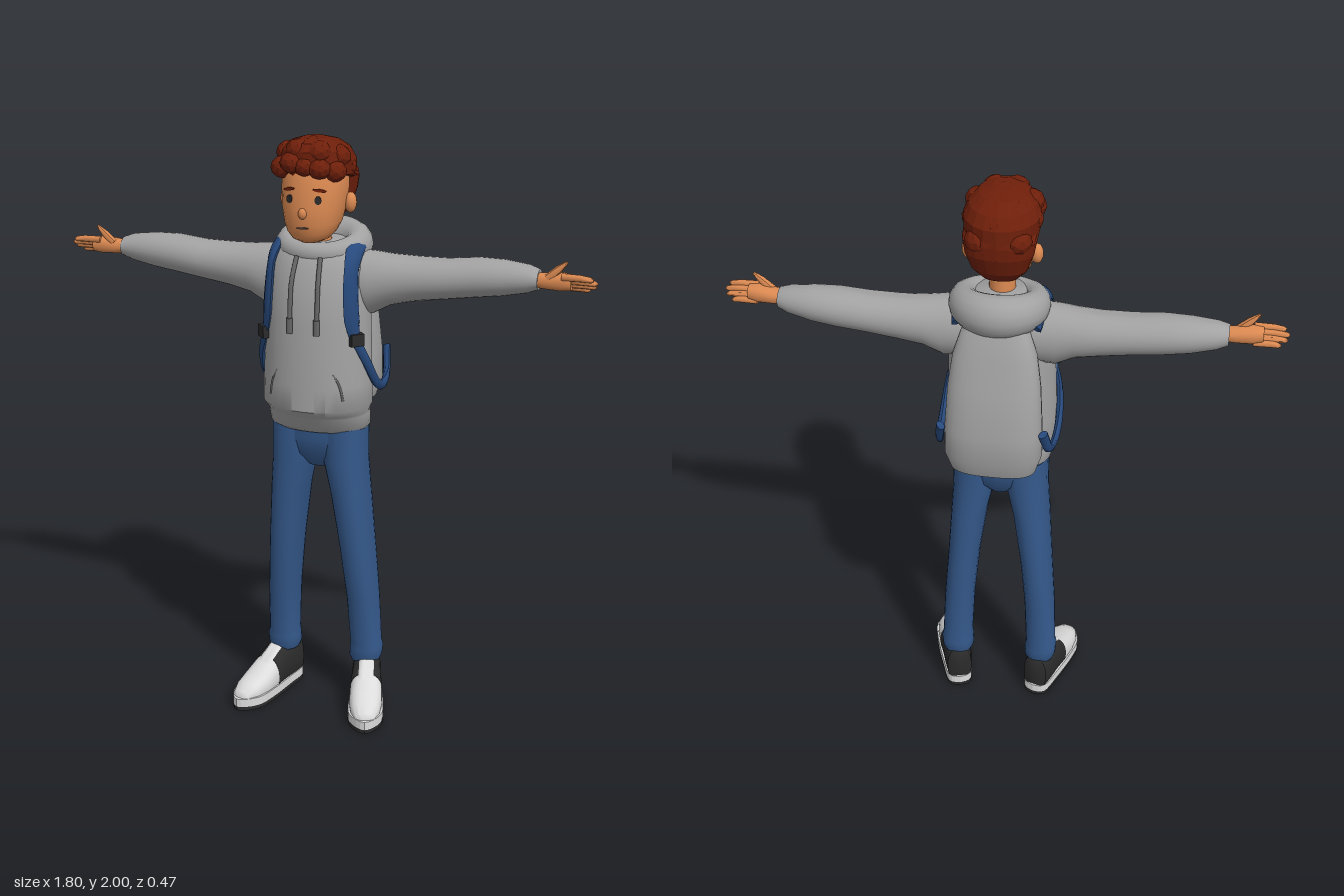
import * as THREE from 'three';
import { toCreasedNormals, mergeGeometries } from 'three/addons/utils/BufferGeometryUtils.js';

const V = (x, y, z) => new THREE.Vector3(x, y, z);
const mat = (name, color) => Object.assign(new THREE.MeshStandardMaterial({ color }), { name });

// Skin rings of points into a surface, either capped at both ends or closed into a loop
function skin(rings, loop = false, crease = 0.8) {
  const n = rings[0].length, m = rings.length, pos = [], idx = [];
  rings.flat().forEach(p => pos.push(p.x, p.y, p.z));
  for (let i = 0; i < (loop ? m : m - 1); i++) {
    for (let j = 0; j < n; j++) {
      const k = (j + 1) % n, i2 = (i + 1) % m;
      const a = i * n + j, b = i2 * n + j, c = i2 * n + k, d = i * n + k;
      idx.push(a, b, d, b, c, d);
    }
  }
  if (!loop) {
    [0, m - 1].forEach((r, e) => {
      const c = rings[r].reduce((s, p) => s.add(p), V(0, 0, 0)).divideScalar(n);
      pos.push(c.x, c.y, c.z);
      for (let j = 0; j < n; j++) {
        const a = r * n + j, b = r * n + (j + 1) % n;
        idx.push(m * n + e, e ? b : a, e ? a : b);
      }
    });
  }
  const g = new THREE.BufferGeometry();
  g.setAttribute('position', new THREE.Float32BufferAttribute(pos, 3));
  g.setIndex(idx);
  return toCreasedNormals(g, crease);
}

// Rings are [position along axis, centre a, centre b, radius a, radius b]; power > 2 squares them off
function loft(rings, axis = 'y', power = 2, n = 24) {
  const s = v => Math.sign(v) * Math.abs(v) ** (2 / power);
  return skin(rings.map(([t, a, b, ra, rb]) => Array.from({ length: n }, (_, j) => {
    const th = (axis === 'y' ? 1 : -1) * j / n * Math.PI * 2;
    const p = a + ra * s(Math.cos(th)), q = b + rb * s(Math.sin(th));
    return axis === 'y' ? V(p, t, q) : axis === 'x' ? V(t, p, q) : V(p, q, t);
  })));
}

// Flat band along a curve, lying against the body
function ribbon(points, halfWidth, thick, steps = 40) {
  const curve = new THREE.CatmullRomCurve3(points);
  return skin(Array.from({ length: steps + 1 }, (_, i) => {
    const t = i / steps, p = curve.getPoint(t), tan = curve.getTangent(t);
    const out = V(p.x, Math.max(0, p.y - 1.58) * 3, p.z - 0.02).normalize();
    const side = tan.clone().cross(out).normalize();
    out.crossVectors(side, tan).normalize();
    return Array.from({ length: 8 }, (_, j) => {
      const a = -j / 8 * Math.PI * 2;
      return p.clone().addScaledVector(side, Math.cos(a) * halfWidth(t)).addScaledVector(out, -Math.sin(a) * thick);
    });
  }));
}

// Copy reflected across x with its winding restored
function mirror(geo) {
  const g = geo.index ? geo.toNonIndexed() : geo.clone();
  g.scale(-1, 1, 1);
  for (const a of Object.values(g.attributes)) {
    const s = a.itemSize;
    for (let i = 0; i < a.count; i += 3) for (let k = 0; k < s; k++) {
      const u = (i + 1) * s + k, w = (i + 2) * s + k, tmp = a.array[u];
      a.array[u] = a.array[w];
      a.array[w] = tmp;
    }
  }
  return g;
}

const ball = (x, y, z, rx, ry = rx, rz = rx) =>
  new THREE.SphereGeometry(1, 14, 10).scale(rx, ry, rz).translate(x, y, z);
const tube = (pts, r) => new THREE.TubeGeometry(new THREE.CatmullRomCurve3(pts), 12, r, 8);

export function createModel() {
  const model = new THREE.Group();
  model.name = 'boyWithBackpack';
  const skinTone = mat('skin', 0xdc8a52), hair = mat('hair', 0x6e1f0a), grey = mat('hoodieGrey', 0xa2a2a2);
  const denim = mat('denim', 0x34588a), blue = mat('strapBlue', 0x27497c), white = mat('shoeWhite', 0xdcdcdc);
  const black = mat('black', 0x2b2b2b), dark = mat('cordGrey', 0x666666), lining = mat('hoodLining', 0x4a3f3b);
  const hairFlat = hair;
  hairFlat.flatShading = true;
  const add = (name, geo, m) => {
    const mesh = new THREE.Mesh(geo, m);
    mesh.name = name;
    model.add(mesh);
  };
  const pair = (name, geo, m) => {
    add(name + 'Left', geo, m);
    add(name + 'Right', mirror(geo), m);
  };

  // Hoodie body with ribbed hem
  add('hoodieBody', loft([
    [1.03, 0, 0.01, 0.162, 0.113], [1.04, 0, 0.015, 0.17, 0.122], [1.085, 0, 0.025, 0.172, 0.13],
    [1.095, 0, 0.03, 0.172, 0.134], [1.12, 0, 0.04, 0.183, 0.15], [1.2, 0, 0.04, 0.182, 0.15],
    [1.3, 0, 0.036, 0.178, 0.148], [1.4, 0, 0.035, 0.175, 0.145], [1.5, 0, 0.03, 0.172, 0.14],
    [1.58, 0, 0.02, 0.168, 0.125], [1.63, 0, 0.01, 0.152, 0.11], [1.66, 0, 0, 0.115, 0.09]], 'y', 2.1, 32), grey);
  pair('sleeve', loft([
    [0.09, 1.53, 0, 0.1, 0.085], [0.18, 1.525, 0, 0.103, 0.085], [0.24, 1.538, -0.005, 0.083, 0.08],
    [0.32, 1.545, -0.01, 0.073, 0.075], [0.42, 1.553, -0.01, 0.066, 0.073], [0.52, 1.565, -0.014, 0.064, 0.072],
    [0.6, 1.57, -0.014, 0.058, 0.064], [0.68, 1.574, -0.01, 0.045, 0.05], [0.715, 1.575, -0.006, 0.032, 0.04]], 'x'), grey);

  // Lowered hood, thicker at the back
  add('hood', skin(Array.from({ length: 36 }, (_, i) => {
    const t = i / 36 * Math.PI * 2, b = (1 - Math.cos(t)) / 2;
    return Array.from({ length: 14 }, (_, j) => {
      const f = j / 14 * Math.PI * 2, r = (0.03 + 0.03 * b) * Math.cos(f);
      return V((0.115 + r) * Math.sin(t), 1.625 + 0.015 * b + (0.035 + 0.035 * b) * Math.sin(f),
        -0.0075 + (0.1075 + r) * Math.cos(t));
    });
  }), true), grey);
  add('hoodLining', new THREE.CylinderGeometry(0.1, 0.1, 0.008, 24).translate(0, 1.655, -0.01), lining);

  // Drawstrings and pocket openings
  pair('drawstring', tube([V(0.04, 1.62, 0.13), V(0.045, 1.54, 0.166), V(0.046, 1.42, 0.181)], 0.008), dark);
  pair('drawstringTip', new THREE.CylinderGeometry(0.011, 0.011, 0.05, 8).translate(0.046, 1.405, 0.183), dark);
  pair('pocketOpening', tube([V(0.095, 1.25, 0.163), V(0.115, 1.21, 0.157), V(0.125, 1.16, 0.151)], 0.004), dark);

  // Backpack and shoulder straps
  add('backpack', loft([
    [1.075, 0, -0.13, 0.1, 0.05], [1.09, 0, -0.143, 0.14, 0.073], [1.15, 0, -0.149, 0.158, 0.085],
    [1.25, 0, -0.148, 0.157, 0.085], [1.4, 0, -0.13, 0.148, 0.071], [1.5, 0, -0.115, 0.134, 0.056],
    [1.58, 0, -0.105, 0.108, 0.045], [1.62, 0, -0.1, 0.07, 0.03]], 'y', 2.8, 32), grey);
  pair('shoulderStrap', ribbon([
    V(0.12, 1.6, -0.1), V(0.128, 1.655, 0), V(0.135, 1.61, 0.092), V(0.14, 1.5, 0.122), V(0.15, 1.38, 0.117),
    V(0.183, 1.27, 0.075), V(0.193, 1.19, 0.01), V(0.19, 1.16, -0.07), V(0.18, 1.175, -0.14), V(0.165, 1.26, -0.188)],
  t => t < 0.4 ? 0.03 : Math.max(0.017, 0.03 - (t - 0.4) * 0.15), 0.012), blue);
  pair('strapBuckle', new THREE.BoxGeometry(0.045, 0.04, 0.03).rotateY(0.8).translate(0.157, 1.36, 0.117), black);

  // Hands
  const hand = [loft([[0.69, 1.575, 0, 0.022, 0.025], [0.74, 1.575, 0.002, 0.025, 0.03],
    [0.79, 1.577, 0.005, 0.029, 0.03], [0.82, 1.577, 0.007, 0.025, 0.026]], 'x', 2.4, 14)];
  for (let i = 0; i < 4; i++) {
    const y = 1.596 - i * 0.013, z = 0.026 - i * 0.012, end = [0.888, 0.9, 0.895, 0.875][i];
    hand.push(loft([[0.79, y, z, 0.012, 0.012], [0.85, y, z, 0.011, 0.011],
      [end - 0.008, y - 0.003, z, 0.009, 0.009], [end, y - 0.003, z, 0.004, 0.004]], 'x', 2, 8));
  }
  hand.push(loft([[0, 0, 0, 0.014, 0.014], [0.045, 0, 0, 0.012, 0.012], [0.08, 0, 0, 0.005, 0.005]], 'x', 2, 8)
    .rotateZ(0.75).translate(0.745, 1.587, 0.018));
  pair('hand', mergeGeometries(hand), skinTone);

  // Jeans
  add('jeansHips', loft([[0.89, 0, 0.01, 0.04, 0.05], [0.94, 0, 0.012, 0.12, 0.088],
    [1.0, 0, 0.012, 0.16, 0.098], [1.05, 0, 0.012, 0.16, 0.1]], 'y', 2.4), denim);
  pair('jeansLeg', loft([
    [0.15, 0.152, -0.035, 0.05, 0.054], [0.165, 0.152, -0.035, 0.056, 0.06], [0.2, 0.154, -0.034, 0.057, 0.061],
    [0.22, 0.153, -0.033, 0.053, 0.06], [0.4, 0.145, -0.02, 0.053, 0.075], [0.6, 0.128, -0.006, 0.055, 0.092],
    [0.8, 0.107, 0.007, 0.063, 0.096], [0.92, 0.09, 0.012, 0.072, 0.097], [1.04, 0.083, 0.012, 0.08, 0.097]], 'y', 2.3), denim);

  // Shoes: dark canvas heel, white toe cap, tongue and sole, black tread
  const place = g => g.rotateY(0.29).translate(0.155, 0, -0.04);
  const upper = [[-0.06, 0, 0.085, 0.03, 0.07], [-0.05, 0, 0.088, 0.044, 0.08], [0, 0, 0.093, 0.05, 0.084],
    [0.05, 0, 0.09, 0.052, 0.08], [0.11, 0, 0.07, 0.056, 0.066], [0.17, 0, 0.055, 0.057, 0.051],
    [0.22, 0, 0.047, 0.05, 0.04], [0.26, 0, 0.04, 0.033, 0.026], [0.27, 0, 0.036, 0.015, 0.014]];
  const outline = new THREE.Shape().setFromPoints(new THREE.SplineCurve([[0, -0.068], [0.04, -0.05], [0.052, 0.03],
    [0.061, 0.15], [0.053, 0.23], [0, 0.283], [-0.053, 0.23], [-0.06, 0.15], [-0.05, 0.03], [-0.04, -0.05], [0, -0.068]]
    .map(([x, z]) => new THREE.Vector2(x, -z))).getPoints(40).slice(0, -1));
  const slab = (y, depth) => place(new THREE.ExtrudeGeometry(outline, { depth, bevelEnabled: false })
    .rotateX(-Math.PI / 2).translate(0, y, 0));
  pair('shoeCanvas', place(loft(upper.slice(0, 5), 'z', 2.6)), black);
  pair('shoeToe', place(loft(upper.slice(4), 'z', 2.4)), white);
  pair('shoeSole', slab(0.014, 0.03), white);
  pair('shoeTread', slab(0, 0.014), black);
  pair('shoeTongue', place(loft([[0.035, 0, 0.15, 0.028, 0.03], [0.06, 0, 0.142, 0.03, 0.03],
    [0.12, 0, 0.108, 0.034, 0.026], [0.15, 0, 0.09, 0.036, 0.02]], 'z', 2.4, 14)), white);

  // Head, ears and neck
  add('neck', new THREE.CylinderGeometry(0.04, 0.045, 0.16, 16).translate(0, 1.66, 0.035), skinTone);
  add('head', loft([
    [1.667, 0, 0.1, 0.03, 0.04], [1.68, 0, 0.1, 0.058, 0.064], [1.7, 0, 0.092, 0.076, 0.083], [1.73, 0, 0.08, 0.089, 0.102],
    [1.78, 0, 0.07, 0.099, 0.115], [1.84, 0, 0.06, 0.105, 0.115], [1.9, 0, 0.055, 0.102, 0.112],
    [1.95, 0, 0.055, 0.08, 0.09]], 'y', 2.2), skinTone);
  add('nose', ball(0, 1.768, 0.182, 0.014, 0.018, 0.013), skinTone);
  pair('ear', ball(0.108, 1.785, 0.035, 0.02, 0.033, 0.022), skinTone);

  // Painted face
  const plate = (rx, ry, tilt, x, y, z, turn) => new THREE.CylinderGeometry(1, 1, 0.006, 14)
    .rotateX(Math.PI / 2).scale(rx, ry, 1).rotateZ(tilt).rotateY(turn).translate(x, y, z);
  pair('eye', plate(0.011, 0.013, 0, 0.047, 1.81, 0.17, 0.35), black);
  pair('eyebrow', plate(0.022, 0.005, -0.15, 0.05, 1.84, 0.165, 0.38), hair);
  add('mouth', plate(0.02, 0.003, 0, 0, 1.722, 0.182, 0), lining);

  // Hair: a shaped cap with curls on the fringe, crown and sides
  add('hairCap', loft([
    [1.72, 0, -0.012, 0.055, 0.03], [1.76, 0, -0.022, 0.088, 0.055], [1.82, 0, -0.03, 0.108, 0.068],
    [1.862, 0, -0.025, 0.115, 0.075], [1.88, 0, 0.035, 0.118, 0.134], [1.92, 0, 0.038, 0.12, 0.135],
    [1.955, 0, 0.05, 0.105, 0.122], [1.98, 0, 0.065, 0.075, 0.09], [1.992, 0, 0.075, 0.035, 0.045]], 'y', 2.1, 20), hair);
  const curls = [[-0.085, 1.9, 0.125, 0.04], [-0.045, 1.92, 0.155, 0.038], [0, 1.91, 0.158, 0.034], [0.045, 1.905, 0.152, 0.037],
    [0.085, 1.895, 0.12, 0.038], [-0.03, 1.955, 0.13, 0.042], [0.035, 1.952, 0.13, 0.042], [-0.08, 1.94, 0.08, 0.043],
    [0.08, 1.935, 0.08, 0.043], [0, 1.962, 0.08, 0.038], [-0.09, 1.905, 0.03, 0.038], [0.088, 1.9, 0.03, 0.038],
    [-0.045, 1.945, 0.01, 0.042], [0.045, 1.94, 0, 0.042], [0, 1.915, -0.05, 0.046], [-0.06, 1.87, -0.052, 0.045],
    [0.06, 1.865, -0.052, 0.045], [0, 1.83, -0.06, 0.04]];
  curls.forEach(([x, y, z, r], i) => add('hairCurl' + (i + 1), new THREE.IcosahedronGeometry(r, 1)
    .rotateY(i * 1.3).rotateX(i * 0.7).scale(1, 0.9, 1).translate(x, y, z), hair));

  return model;
}
